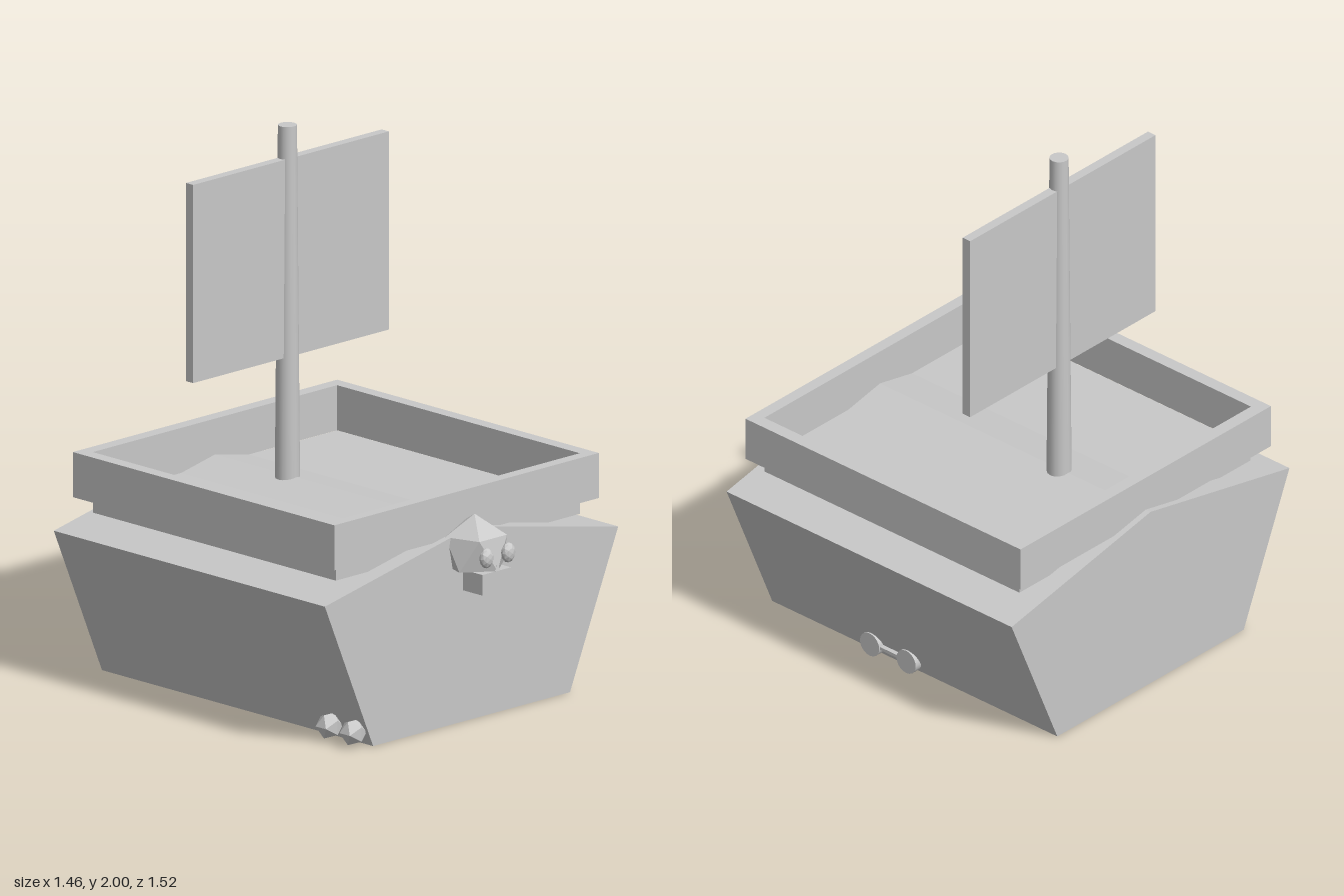
import * as THREE from 'three';

export function createModel() {
  const ship = new THREE.Group();
  const grey = new THREE.MeshStandardMaterial({ color: 0xc8c8c8 });
  grey.name = 'plainGrey';

  function add(name, geometry, x = 0, y = 0, z = 0, parent = ship) {
    const mesh = new THREE.Mesh(geometry, grey);
    mesh.name = name;
    mesh.position.set(x, y, z);
    parent.add(mesh);
    return mesh;
  }
  const faceted = (geometry) => {
    const g = geometry.index ? geometry.toNonIndexed() : geometry;
    g.computeVertexNormals();
    return g;
  };
  const rect = (Target, x0, x1, y0, y1) => {
    const p = new Target();
    p.moveTo(x0, y0);
    p.lineTo(x1, y0);
    p.lineTo(x1, y1);
    p.lineTo(x0, y1);
    p.closePath();
    return p;
  };
  const extrude = (shape, depth) =>
    new THREE.ExtrudeGeometry(shape, { depth, bevelEnabled: false });

  // Hull: flared sides and a shallow ridge along the top
  const section = new THREE.Shape([
    [-0.49, 0], [0.49, 0], [0.73, 0.562], [0, 0.71], [-0.73, 0.562],
  ].map(([x, y]) => new THREE.Vector2(x, y)));
  add('hull', extrude(section, 1.365), 0, 0, -0.76);

  // Deck slab and the open rail frame above it
  add('deck', new THREE.BoxGeometry(1.215, 0.057, 1.222), 0, 0.6475, -0.075);
  const frame = rect(THREE.Shape, -0.658, 0.658, -0.58, 0.737);
  frame.holes.push(rect(THREE.Path, -0.608, 0.608, -0.535, 0.687));
  add('rail', extrude(frame, 0.166).rotateX(-Math.PI / 2), 0, 0.676, 0);

  // Tapered mast and square sail
  add('mast', new THREE.CylinderGeometry(0.034, 0.045, 1.34, 16), 0, 1.33, -0.322);
  add('sail', new THREE.BoxGeometry(0.974, 0.73, 0.036), 0, 1.515, -0.322);

  // Skull figurehead: faceted cranium, flat underneath
  const figurehead = new THREE.Group();
  figurehead.name = 'figurehead';
  ship.add(figurehead);
  const r = 0.13;
  const cranium = new THREE.IcosahedronGeometry(r, 0).rotateX(Math.atan((1 + Math.sqrt(5)) / 2));
  const p = cranium.attributes.position;
  for (let i = 0; i < p.count; i++) p.setY(i, Math.max(p.getY(i), -0.447 * r));
  add('cranium', faceted(cranium), 0, 0.63, 0.62, figurehead);
  add('jaw', new THREE.BoxGeometry(0.142, 0.076, 0.097), 0, 0.533, 0.683, figurehead);
  for (const side of [-1, 1]) {
    const eye = faceted(new THREE.IcosahedronGeometry(1, 1).scale(0.029, 0.037, 0.022));
    add('eye', eye, side * 0.054, 0.63, 0.735, figurehead);
  }
  add('nose', faceted(new THREE.ConeGeometry(0.012, 0.025, 4)), 0, 0.588, 0.735, figurehead);

  // Pair of discs joined by a bar on the left side
  for (const z of [0.096, -0.079]) {
    add('sideDisc', new THREE.CylinderGeometry(0.046, 0.046, 0.03, 20).rotateZ(Math.PI / 2), 0.522, 0.05, z);
  }
  add('sideBar', new THREE.BoxGeometry(0.02, 0.012, 0.17), 0.522, 0.05, 0.008);

  // Faceted knobs at the right front corner, one nearly sunk into the bow
  for (const [x, z] of [[-0.545, 0.44], [-0.545, 0.56], [-0.435, 0.56]]) {
    add('cornerKnob', faceted(new THREE.IcosahedronGeometry(0.05, 0)), x, 0.053, z);
  }
  return ship;
}
